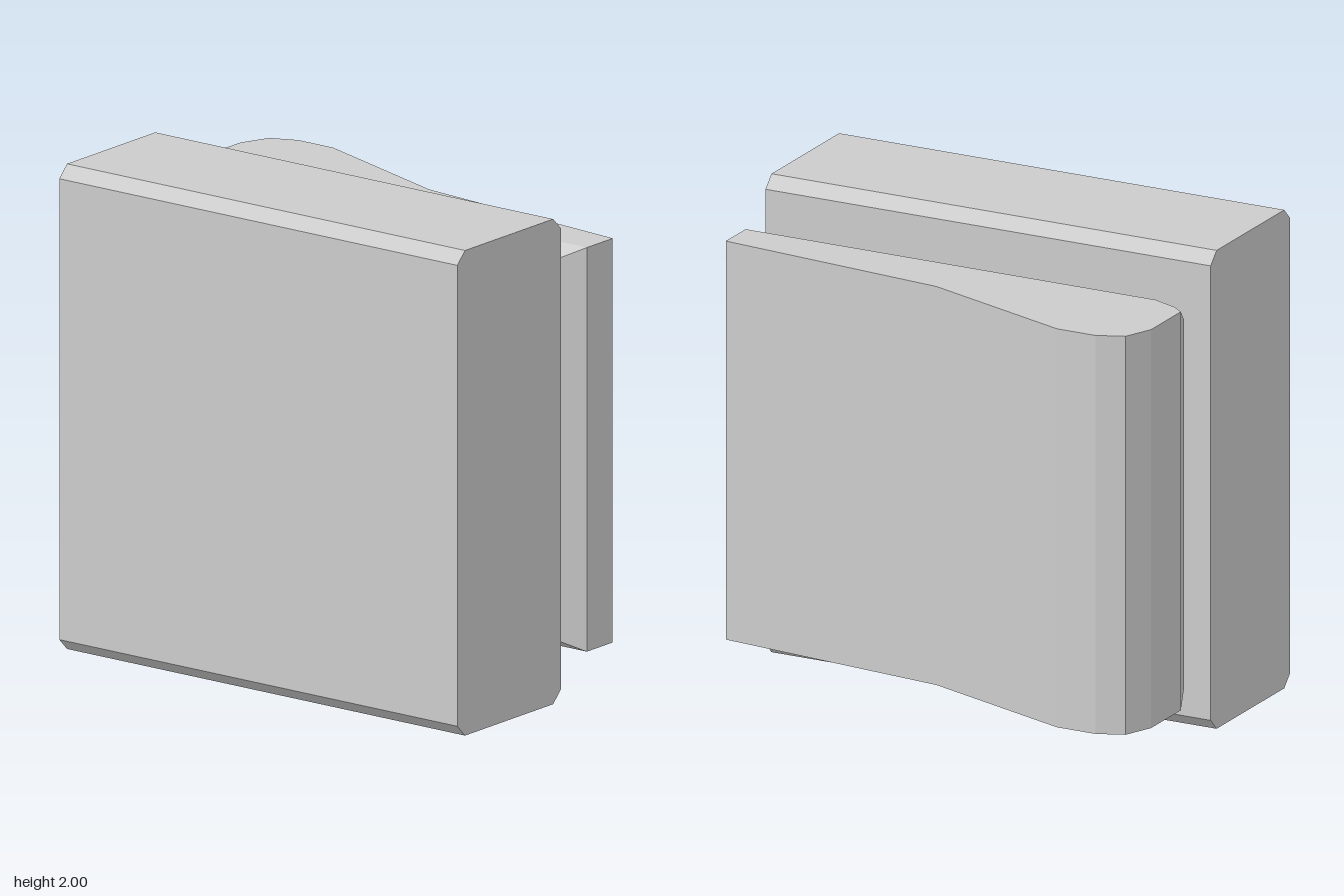
import * as THREE from 'three';

const material = new THREE.MeshStandardMaterial({ color: 0xcccccc, flatShading: true });

// Slab with its four long edges chamfered, extruded along x
function makeSlab() {
  const w = 1 / 3, h = 1, c = 0.05;
  const profile = [
    [w, -h + c], [w, h - c], [w - c, h], [-w + c, h],
    [-w, h - c], [-w, -h + c], [-w + c, -h], [w - c, -h],
  ].map(([x, y]) => new THREE.Vector2(x, y));
  const geometry = new THREE.ExtrudeGeometry(new THREE.Shape(profile), { depth: 2, bevelEnabled: false });
  geometry.translate(0, 0, -1).rotateY(Math.PI / 2).translate(0, 1, w);
  const mesh = new THREE.Mesh(geometry, material);
  mesh.name = 'frontSlab';
  return mesh;
}

// Contoured panel lofted through horizontal sections, given as [x, z] points
function makePanel() {
  const back = [
    [1, -0.333], [0, -0.433], [-0.667, -0.667], [-0.84, -0.667],
    [-0.95, -0.62], [-1, -0.5], [-1, -0.25],
  ];
  const o1 = [-0.95, -0.21], o2 = [-0.84, -0.167], o3 = [1, -0.167];
  // End section, with points doubled where the front bevel fans out
  const end = [...back, o1, o1, o2, o3, o3];
  // Full section, with the raised front face
  const full = [...back, [-0.97, -0.167], [-0.89, -0.09], [-0.81, -0.067], [0.875, -0.067], o3];
  const levels = [[0.167, end], [0.23, full], [1.77, full], [1.833, end]];

  const positions = [];
  const tri = (a, b, c) => {
    const [p, q, r] = [a, b, c].map((v) => new THREE.Vector3(...v));
    const area = q.clone().sub(p).cross(r.clone().sub(p)).length();
    if (area > 1e-7) positions.push(...a, ...b, ...c);
  };
  const rings = levels.map(([y, ring]) => ring.map(([x, z]) => [x, y, z]));

  // Walls and bevels
  for (let k = 0; k < 3; k++) {
    const a = rings[k], b = rings[k + 1];
    for (let i = 0; i < a.length; i++) {
      const j = (i + 1) % a.length;
      if (k === 0) {
        tri(a[i], a[j], b[j]);
        tri(a[i], b[j], b[i]);
      } else {
        tri(a[i], a[j], b[i]);
        tri(a[j], b[j], b[i]);
      }
    }
  }

  // Flat top and bottom
  const outline = [...back, o1, o2, o3];
  const contour = outline.map(([x, z]) => new THREE.Vector2(x, -z));
  for (const [i, j, k] of THREE.ShapeUtils.triangulateShape(contour, [])) {
    const at = (n, y) => [outline[n][0], y, outline[n][1]];
    tri(at(i, 1.833), at(j, 1.833), at(k, 1.833));
    tri(at(k, 0.167), at(j, 0.167), at(i, 0.167));
  }

  const geometry = new THREE.BufferGeometry();
  geometry.setAttribute('position', new THREE.Float32BufferAttribute(positions, 3));
  geometry.computeVertexNormals();
  const mesh = new THREE.Mesh(geometry, material);
  mesh.name = 'rearContouredPanel';
  return mesh;
}

export function createModel() {
  const group = new THREE.Group();
  group.name = 'slabAndPanel';
  group.add(makeSlab(), makePanel());
  return group;
}
